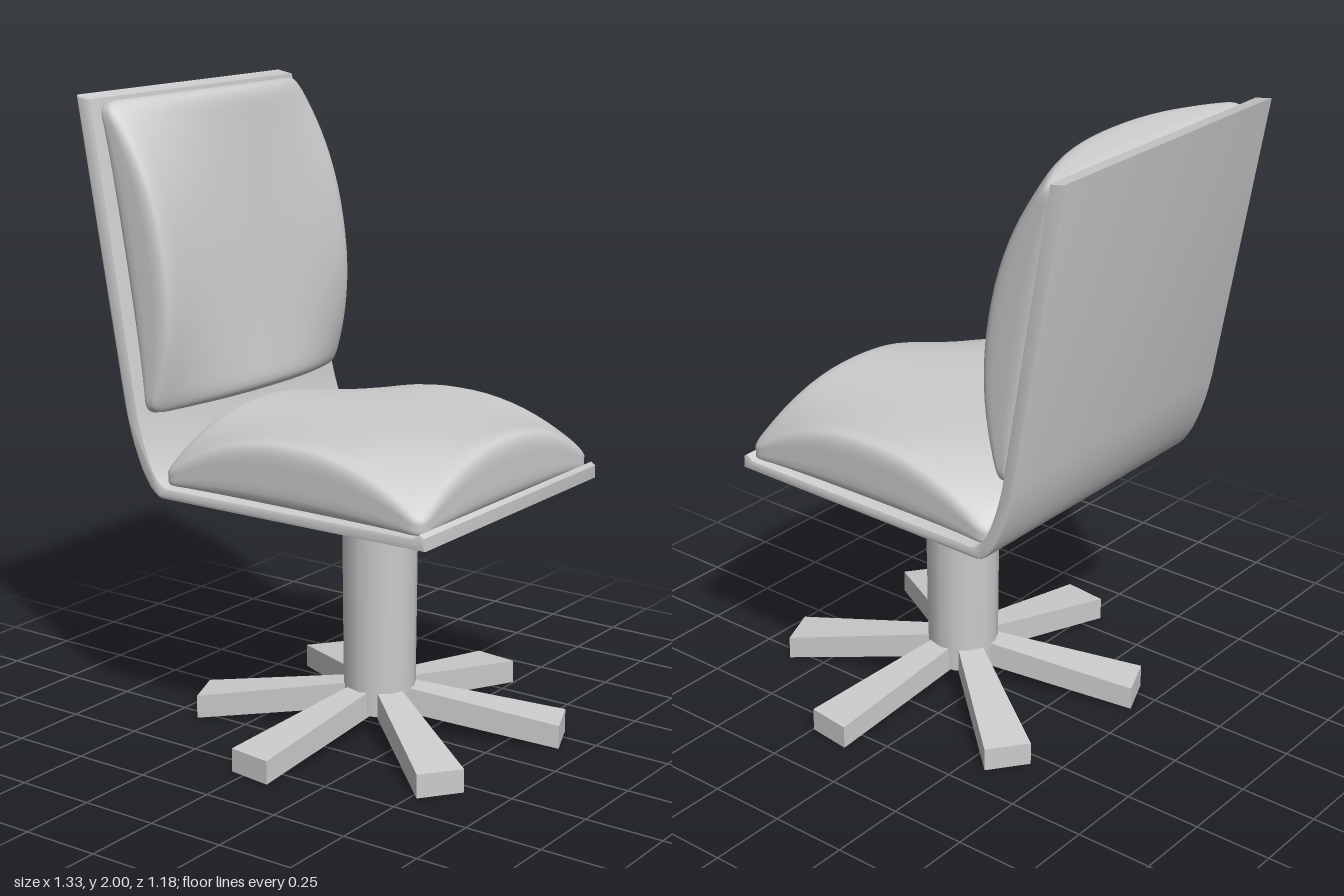
import * as THREE from 'three';
import { mergeVertices, toCreasedNormals } from 'three/addons/utils/BufferGeometryUtils.js';

const material = new THREE.MeshStandardMaterial({ color: 0xcccccc });

function add(parent, name, geometry) {
  const mesh = new THREE.Mesh(geometry, material);
  mesh.name = name;
  parent.add(mesh);
  return mesh;
}

// Pillow on a flat base: a box with rounded edges whose four top corners sink
function cushionGeometry(length, height, width, radius) {
  let geo = new THREE.BoxGeometry(2, 2, 2, 28, 10, 28);
  geo.deleteAttribute('uv');
  geo.deleteAttribute('normal');
  geo = mergeVertices(geo);
  const half = new THREE.Vector3(length / 2, height / 2, width / 2);
  const inner = half.clone().subScalar(radius);
  const pos = geo.attributes.position;
  const p = new THREE.Vector3(), core = new THREE.Vector3();
  const crowd = (t) => Math.sin(t * Math.PI / 2); // more rows near the edges
  for (let i = 0; i < pos.count; i++) {
    p.fromBufferAttribute(pos, i);
    p.set(crowd(p.x), crowd(p.y), crowd(p.z)).multiply(half);
    core.copy(p).clamp(inner.clone().negate(), inner);
    p.sub(core);
    if (p.lengthSq() > 0) p.setLength(radius);
    p.add(core);
    const corner = Math.abs((p.x / half.x) * (p.z / half.z));
    const y = (p.y + half.y) * (1 - 0.82 * Math.pow(corner, 2.2));
    pos.setXYZ(i, p.x, y, p.z);
  }
  geo.computeVertexNormals();
  return geo;
}

// Bent sheet: flat seat pan sweeping up into the back panel
function shellGeometry() {
  const s = new THREE.Shape();
  s.moveTo(0.59, 0.79);
  s.lineTo(-0.36, 0.79);
  s.bezierCurveTo(-0.415, 0.79, -0.475, 0.92, -0.505, 1.07);
  s.lineTo(-0.667, 2.0);
  s.lineTo(-0.612, 1.99);
  s.lineTo(-0.455, 1.05);
  s.bezierCurveTo(-0.43, 0.94, -0.39, 0.825, -0.34, 0.825);
  s.lineTo(0.55, 0.825);
  s.lineTo(0.575, 0.84);
  s.lineTo(0.59, 0.83);
  s.closePath();
  const bevel = 0.008, depth = 1.006 - 2 * bevel;
  const geo = new THREE.ExtrudeGeometry(s, {
    depth, curveSegments: 10, bevelEnabled: true,
    bevelSize: bevel, bevelThickness: bevel, bevelOffset: -bevel, bevelSegments: 2,
  });
  geo.translate(0, 0, -depth / 2);
  // the pan narrows slightly toward its front edge
  const pos = geo.attributes.position;
  for (let i = 0; i < pos.count; i++) {
    const t = Math.max(0, pos.getX(i) + 0.4);
    pos.setZ(i, pos.getZ(i) * (1 - 0.03 * t));
  }
  return toCreasedNormals(geo, 0.6);
}

// Sloping foot that widens and thins toward its tip
function legGeometry() {
  const geo = new THREE.BoxGeometry(1, 1, 1);
  const pos = geo.attributes.position;
  for (let i = 0; i < pos.count; i++) {
    const t = pos.getX(i) + 0.5;
    const top = pos.getY(i) > 0;
    const y = top ? 0.16 - 0.085 * t : 0.075 * (1 - t);
    pos.setXYZ(i, 0.02 + 0.565 * t, y, pos.getZ(i) * (0.07 + 0.078 * t));
  }
  geo.computeVertexNormals();
  return geo;
}

export function createModel() {
  const chair = new THREE.Group();
  chair.name = 'swivelChair';

  add(chair, 'shell', shellGeometry());

  const seat = add(chair, 'seatCushion', cushionGeometry(0.955, 0.205, 0.95, 0.045));
  seat.position.set(0.095, 0.82, 0);

  const back = add(chair, 'backCushion', cushionGeometry(0.955, 0.17, 0.95, 0.045));
  back.position.set(-0.53, 1.506, 0);
  back.rotation.z = -1.403;

  // Pedestal and its six feet
  const base = new THREE.Group();
  base.name = 'base';
  base.position.x = 0.1;
  chair.add(base);

  const column = add(base, 'column', new THREE.CylinderGeometry(0.12, 0.114, 0.735, 14));
  column.position.y = 0.4375;
  const plate = add(base, 'mountingPlate', new THREE.CylinderGeometry(0.16, 0.16, 0.02, 28));
  plate.position.y = 0.796;

  const leg = legGeometry();
  for (let i = 0; i < 6; i++) {
    add(base, 'leg', leg).rotation.y = THREE.MathUtils.degToRad(22.8 + i * 60);
  }
  return chair;
}
